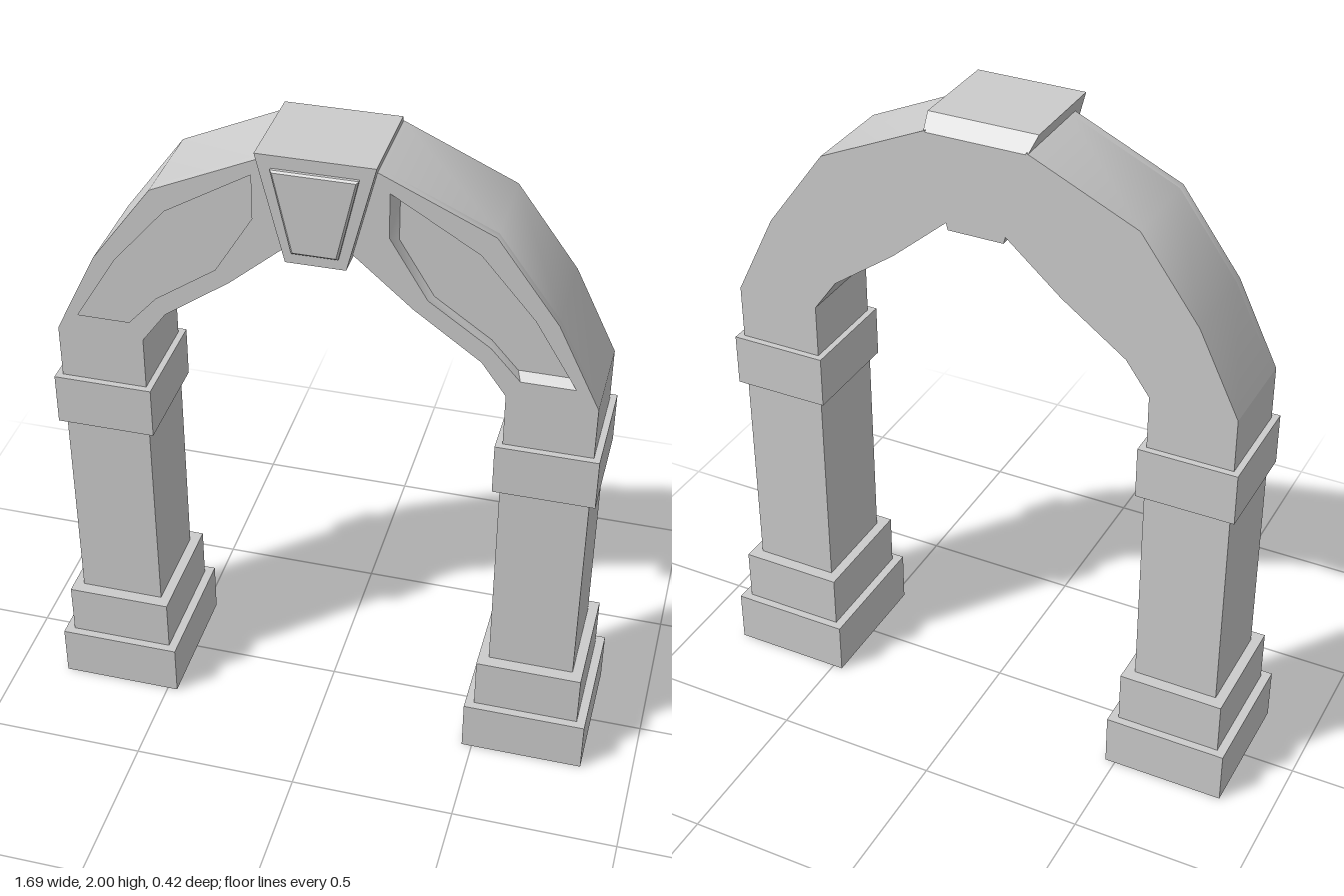
import * as THREE from 'three';
import { toCreasedNormals } from 'three/addons/utils/BufferGeometryUtils.js';

const stone = new THREE.MeshStandardMaterial({ color: 0xcccccc });
const openStone = new THREE.MeshStandardMaterial({ color: 0xcccccc, side: THREE.DoubleSide });

const BACK = -0.147, FRONT = 0.147, RECESS = 0.025;

function named(name, geometry, material = stone) {
  const mesh = new THREE.Mesh(geometry, material);
  mesh.name = name;
  return mesh;
}

// Points as [x, y], optionally mirrored across x = 0
const points = (list, side = 1) => list.map(([x, y]) => new THREE.Vector2(x * side, y));

// Stack of rectangular rings [y, halfWidth, halfDepth], open at both ends
function rectLoft(rings) {
  const positions = [];
  const corners = ([y, w, d]) => [[-w, y, d], [w, y, d], [w, y, -d], [-w, y, -d]];
  for (let i = 0; i < rings.length - 1; i++) {
    const lo = corners(rings[i]), hi = corners(rings[i + 1]);
    for (let k = 0; k < 4; k++) {
      const n = (k + 1) % 4;
      positions.push(...lo[k], ...lo[n], ...hi[n], ...lo[k], ...hi[n], ...hi[k]);
    }
  }
  const geometry = new THREE.BufferGeometry();
  geometry.setAttribute('position', new THREE.Float32BufferAttribute(positions, 3));
  geometry.computeVertexNormals();
  return geometry;
}

// Pillar: two plinth steps, shaft and a band, hollow from below
function pillar(side) {
  const mesh = named(side > 0 ? 'leftPillar' : 'rightPillar', rectLoft([
    [0, 0.187, 0.21], [0.165, 0.187, 0.21],
    [0.165, 0.16, 0.185], [0.33, 0.16, 0.185],
    [0.33, 0.129, 0.147], [0.99, 0.129, 0.147],
    [0.99, 0.148, 0.167], [1.15, 0.148, 0.167],
    [1.15, 0.129, 0.147], [1.315, 0.129, 0.147],
  ]), openStone);
  mesh.position.x = side * 0.656;
  return mesh;
}

// Half arch: solid body plus a front layer whose hole forms the sunk panel
function archHalf(side) {
  const outline = points([
    [0.785, 1.315], [0.66, 1.57], [0.48, 1.815], [0.15, 1.965],
    [0.08, 1.71], [0.26, 1.555], [0.455, 1.415], [0.527, 1.315],
  ], side);
  const panel = points([
    [0.72, 1.37], [0.595, 1.575], [0.44, 1.755], [0.19, 1.905],
    [0.19, 1.77], [0.30, 1.59], [0.48, 1.465], [0.565, 1.37],
  ], side);
  const group = new THREE.Group();
  group.name = side > 0 ? 'leftArch' : 'rightArch';

  const body = new THREE.ExtrudeGeometry(new THREE.Shape(outline),
    { depth: FRONT - RECESS - BACK, bevelEnabled: false });
  body.translate(0, 0, BACK);

  const frameShape = new THREE.Shape(outline);
  frameShape.holes.push(new THREE.Path(panel));
  const frame = new THREE.ExtrudeGeometry(frameShape, { depth: RECESS, bevelEnabled: false });
  // Slope the recess walls by drawing the rear of the hole inward
  const centre = panel.reduce((sum, p) => sum.add(p), new THREE.Vector2()).divideScalar(panel.length);
  const pos = frame.attributes.position;
  for (let i = 0; i < pos.count; i++) {
    const v = new THREE.Vector2(pos.getX(i), pos.getY(i));
    if (pos.getZ(i) < RECESS / 2 && panel.some((p) => p.distanceTo(v) < 1e-4)) {
      v.lerp(centre, 0.09);
      pos.setXY(i, v.x, v.y);
    }
  }
  frame.translate(0, 0, FRONT - RECESS);

  group.add(named('archBody', toCreasedNormals(body, 0.6)), named('archPanelFrame', toCreasedNormals(frame, 0.6)));
  return group;
}

// Keystone: side profile spread across x, tapering toward the bottom
function keystone() {
  const group = new THREE.Group();
  group.name = 'keystone';
  const profile = points([[0.195, 1.68], [0.195, 2], [-0.10, 2], [BACK, 1.96], [BACK, 1.68]]);
  const block = new THREE.ExtrudeGeometry(new THREE.Shape(profile), { depth: 1, bevelEnabled: false });
  block.rotateY(-Math.PI / 2).translate(0.5, 0, 0);
  const pos = block.attributes.position;
  for (let i = 0; i < pos.count; i++) {
    const halfWidth = THREE.MathUtils.mapLinear(pos.getY(i), 1.68, 2, 0.085, 0.165);
    pos.setX(i, Math.sign(pos.getX(i)) * halfWidth);
  }
  block.computeVertexNormals();

  // Raised face plate with a small bevel
  const plate = new THREE.ExtrudeGeometry(
    new THREE.Shape(points([[-0.065, 1.715], [0.065, 1.715], [0.12, 1.962], [-0.12, 1.962]])),
    { depth: 0.012, bevelThickness: 0.006, bevelSize: 0.006, bevelOffset: -0.006, bevelSegments: 1 });
  plate.translate(0, 0, 0.192);

  group.add(named('keystoneBlock', block), named('keystonePlate', plate));
  return group;
}

export function createModel() {
  const model = new THREE.Group();
  model.name = 'archway';
  for (const side of [1, -1]) model.add(pillar(side), archHalf(side));
  model.add(keystone());
  return model;
}
